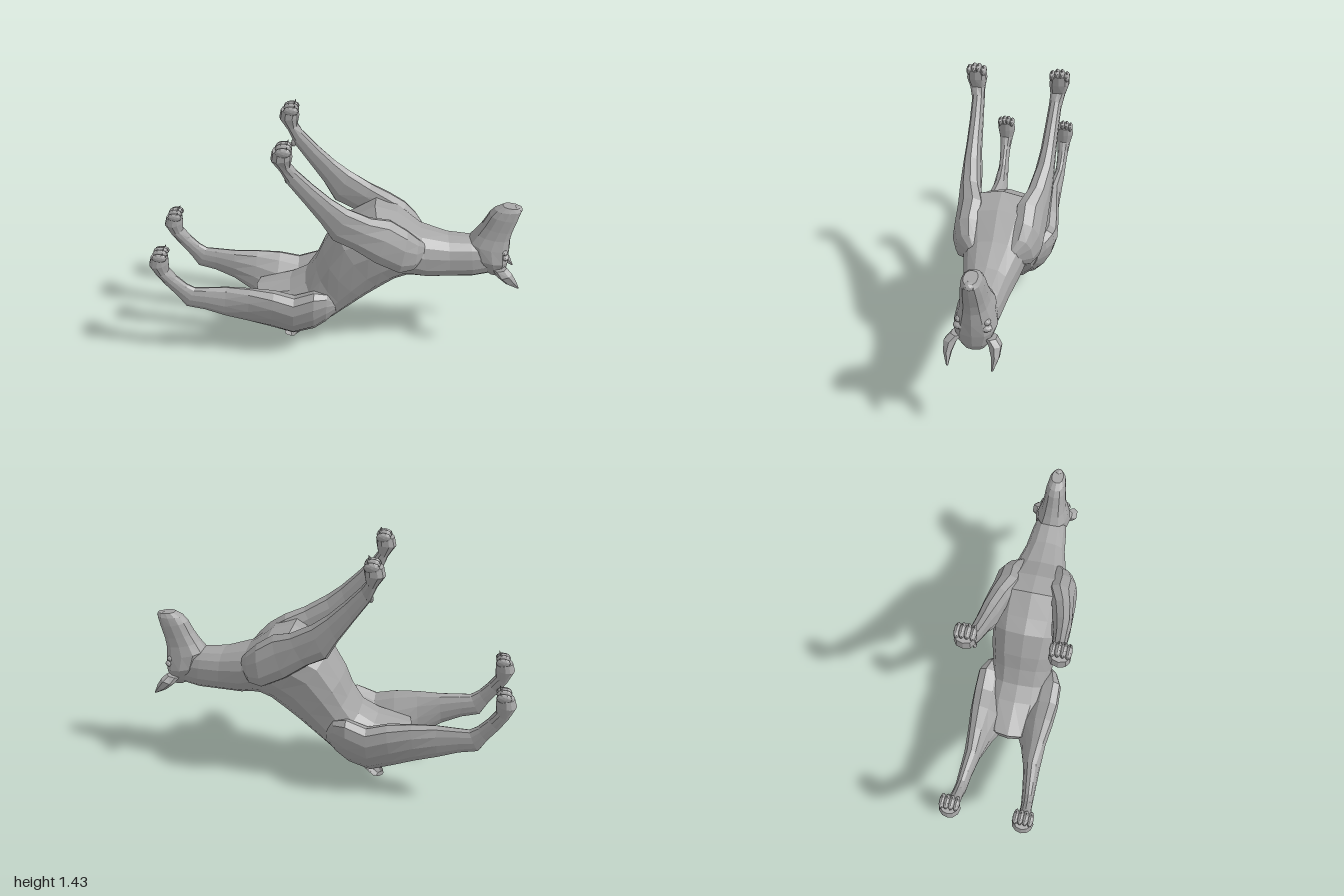
import * as THREE from 'three';

const coat = new THREE.MeshStandardMaterial({ color: 0xa6a6a6 });
coat.name = 'grey coat';

// Facets the geometry and wraps it in a named mesh
function facet(geo, name) {
  const flat = geo.index ? geo.toNonIndexed() : geo;
  flat.computeVertexNormals();
  const mesh = new THREE.Mesh(flat, coat);
  mesh.name = name;
  return mesh;
}

// Skin over oval sections, each [x1, y1, x2, y2, half width, z centre, lean, taper]:
// the section spans from point 1 to point 2 in the side plane, lean moves
// point 2 sideways relative to point 1, and taper narrows the side of point 1.
function loft(name, sections, sides = 10, side = 1, power = 0.85) {
  const pos = [], idx = [];
  const round = (v) => Math.sign(v) * Math.abs(v) ** power;
  sections.forEach(([x1, y1, x2, y2, w, z = 0, lean = 0, taper = 0]) => {
    for (let j = 0; j < sides; j++) {
      const a = (j / sides) * Math.PI * 2;
      const c = round(Math.cos(a)) / 2, s = round(Math.sin(a)) * (1 + taper * c);
      pos.push((x1 + x2) / 2 + (x2 - x1) * c, (y1 + y2) / 2 + (y2 - y1) * c, (z + lean * c) * side + w * s);
    }
  });
  const last = sections.length - 1;
  for (let i = 0; i < last; i++) {
    for (let j = 0; j < sides; j++) {
      const a = i * sides + j, b = i * sides + ((j + 1) % sides);
      idx.push(a, b, a + sides, b, b + sides, a + sides);
    }
  }
  // End caps
  for (let j = 1; j < sides - 1; j++) {
    const e = last * sides;
    idx.push(0, j + 1, j, e, e + j, e + j + 1);
  }
  const geo = new THREE.BufferGeometry();
  geo.setAttribute('position', new THREE.Float32BufferAttribute(pos, 3));
  geo.setIndex(idx);
  return facet(geo, name);
}

function bump(name, x, y, z, rx, ry, rz) {
  const mesh = facet(new THREE.IcosahedronGeometry(1, 1).scale(rx, ry, rz), name);
  mesh.position.set(x, y, z);
  return mesh;
}

// Back edge first, belly edge second, from rump to neck
const TORSO = [
  [-0.28, 0.085, -0.38, 0.19, 0.04, 0, 0, 0.3],
  [-0.22, 0.075, -0.46, 0.33, 0.09, 0, 0, 0.5],
  [-0.16, 0.085, -0.46, 0.39, 0.125, 0, 0, 0.5],
  [-0.08, 0.15, -0.27, 0.43, 0.165, 0, 0, 0.3],
  [0.00, 0.23, -0.18, 0.48, 0.168, 0, 0, 0.1],
  [0.08, 0.30, -0.12, 0.58, 0.172, 0, 0, 0.1],
  [0.17, 0.38, -0.08, 0.68, 0.185, 0, 0, 0.15],
  [0.26, 0.45, 0.00, 0.82, 0.193, 0, 0, 0.2],
  [0.33, 0.50, 0.08, 0.86, 0.195, 0, 0, 0.3],
  [0.39, 0.52, 0.20, 0.935, 0.19, 0, 0, 0.35],
  [0.43, 0.52, 0.32, 0.90, 0.175, 0, 0, 0.3],
  [0.50, 0.51, 0.45, 0.80, 0.145, 0, 0, 0.15],
  [0.62, 0.51, 0.60, 0.755, 0.115],
  [0.75, 0.51, 0.72, 0.745, 0.10],
  [0.86, 0.53, 0.80, 0.73, 0.08],
];

// Brow edge first, jaw edge second, from skull to nose
const HEAD = [
  [0.92, 0.525, 0.83, 0.53, 0.055],
  [0.935, 0.56, 0.79, 0.57, 0.08],
  [0.94, 0.62, 0.74, 0.65, 0.104],
  [0.94, 0.69, 0.71, 0.735, 0.088],
  [0.936, 0.75, 0.745, 0.785, 0.07],
  [0.942, 0.80, 0.775, 0.835, 0.062],
  [0.96, 0.87, 0.805, 0.90, 0.055],
  [0.973, 0.925, 0.83, 0.93, 0.046],
  [0.96, 0.945, 0.87, 0.953, 0.032],
];

// Upper edge first, lower edge second, from shoulder to toes
const FRONT_LEG = [
  [0.47, 0.76, 0.47, 0.68, 0.03, 0.095],
  [0.43, 0.81, 0.41, 0.645, 0.055, 0.14, 0.03],
  [0.37, 0.87, 0.33, 0.64, 0.07, 0.157, 0.04],
  [0.28, 0.93, 0.20, 0.71, 0.072, 0.16, 0.05],
  [0.18, 0.965, 0.08, 0.80, 0.058, 0.18, 0.02],
  [0.06, 1.035, -0.02, 0.85, 0.05, 0.192],
  [-0.02, 1.095, -0.08, 0.96, 0.041, 0.198],
  [-0.11, 1.18, -0.16, 1.08, 0.036, 0.202],
  [-0.19, 1.265, -0.235, 1.19, 0.033, 0.207],
  [-0.215, 1.30, -0.27, 1.275, 0.04, 0.215],
  [-0.205, 1.345, -0.31, 1.335, 0.053, 0.22],
  [-0.205, 1.39, -0.30, 1.38, 0.048, 0.22],
];

// Upper edge first, lower edge second, from hip to toes
const HIND_LEG = [
  [-0.01, 0.40, 0.00, 0.30, 0.03, 0.13, -0.03],
  [-0.05, 0.46, -0.06, 0.23, 0.055, 0.145, -0.06],
  [-0.12, 0.485, -0.13, 0.15, 0.09, 0.135, -0.12],
  [-0.23, 0.445, -0.25, 0.10, 0.10, 0.126, -0.14],
  [-0.34, 0.475, -0.38, 0.16, 0.09, 0.133, -0.11],
  [-0.47, 0.49, -0.50, 0.235, 0.064, 0.154, -0.05],
  [-0.60, 0.495, -0.62, 0.30, 0.047, 0.17],
  [-0.71, 0.498, -0.73, 0.35, 0.037, 0.18],
  [-0.77, 0.50, -0.83, 0.375, 0.032, 0.185],
  [-0.81, 0.525, -0.87, 0.45, 0.03, 0.188],
  [-0.86, 0.58, -0.925, 0.53, 0.033, 0.19],
  [-0.895, 0.63, -0.965, 0.60, 0.042, 0.19],
  [-0.89, 0.68, -0.995, 0.67, 0.056, 0.19],
  [-0.89, 0.725, -0.98, 0.715, 0.05, 0.19],
];

// Outer edge first, inner edge second, from base to tip
const EAR = [
  [0.85, 0.585, 0.925, 0.60, 0.03, 0.08],
  [0.875, 0.555, 0.95, 0.58, 0.033, 0.105],
  [0.925, 0.515, 0.975, 0.54, 0.021, 0.112],
  [0.993, 0.48, 1.0, 0.485, 0.005, 0.105],
];

const TAIL = [
  [-0.315, 0.025, -0.275, 0.003, 0.022],
  [-0.31, 0.045, -0.25, 0.012, 0.036],
  [-0.27, 0.10, -0.19, 0.06, 0.03],
  [-0.22, 0.17, -0.11, 0.11, 0.05],
];

// Four toes with claws at the end of a paw
function toes(name, x, y, z) {
  const group = new THREE.Group();
  group.name = name;
  [-1.5, -0.5, 0.5, 1.5].forEach((k) => {
    const dy = Math.abs(k) < 1 ? 0.01 : 0;
    group.add(bump('toe', x, y + dy, z + k * 0.025, 0.04, 0.026, 0.016));
    const claw = facet(new THREE.ConeGeometry(0.008, 0.03, 4), 'claw');
    claw.position.set(x + 0.018, y + dy + 0.022, z + k * 0.026);
    claw.rotation.z = -0.3;
    group.add(claw);
  });
  return group;
}

export function createModel() {
  const dog = new THREE.Group();
  dog.name = 'recliningDog';
  dog.add(loft('torso', TORSO, 14), loft('head', HEAD, 12), loft('tail', TAIL, 8));
  dog.add(bump('nose', 0.95, 0.93, 0, 0.026, 0.022, 0.026));

  for (const side of [1, -1]) {
    const label = side > 0 ? 'left' : 'right';
    dog.add(loft(label + 'FrontLeg', FRONT_LEG, 10, side));
    dog.add(loft(label + 'HindLeg', HIND_LEG, 12, side, 1));
    dog.add(loft(label + 'Ear', EAR, 6, side, 1));
    dog.add(toes(label + 'FrontToes', -0.245, 1.385, side * 0.22));
    dog.add(toes(label + 'HindToes', -0.925, 0.73, side * 0.19));
    // Dewclaw, eye and brow
    dog.add(bump(label + 'Dewclaw', -0.237, 1.2, side * 0.19, 0.014, 0.022, 0.01));
    dog.add(bump(label + 'Eye', 0.9, 0.69, side * 0.065, 0.02, 0.016, 0.02));
    dog.add(bump(label + 'Brow', 0.908, 0.66, side * 0.06, 0.024, 0.018, 0.032));
  }
  return dog;
}
